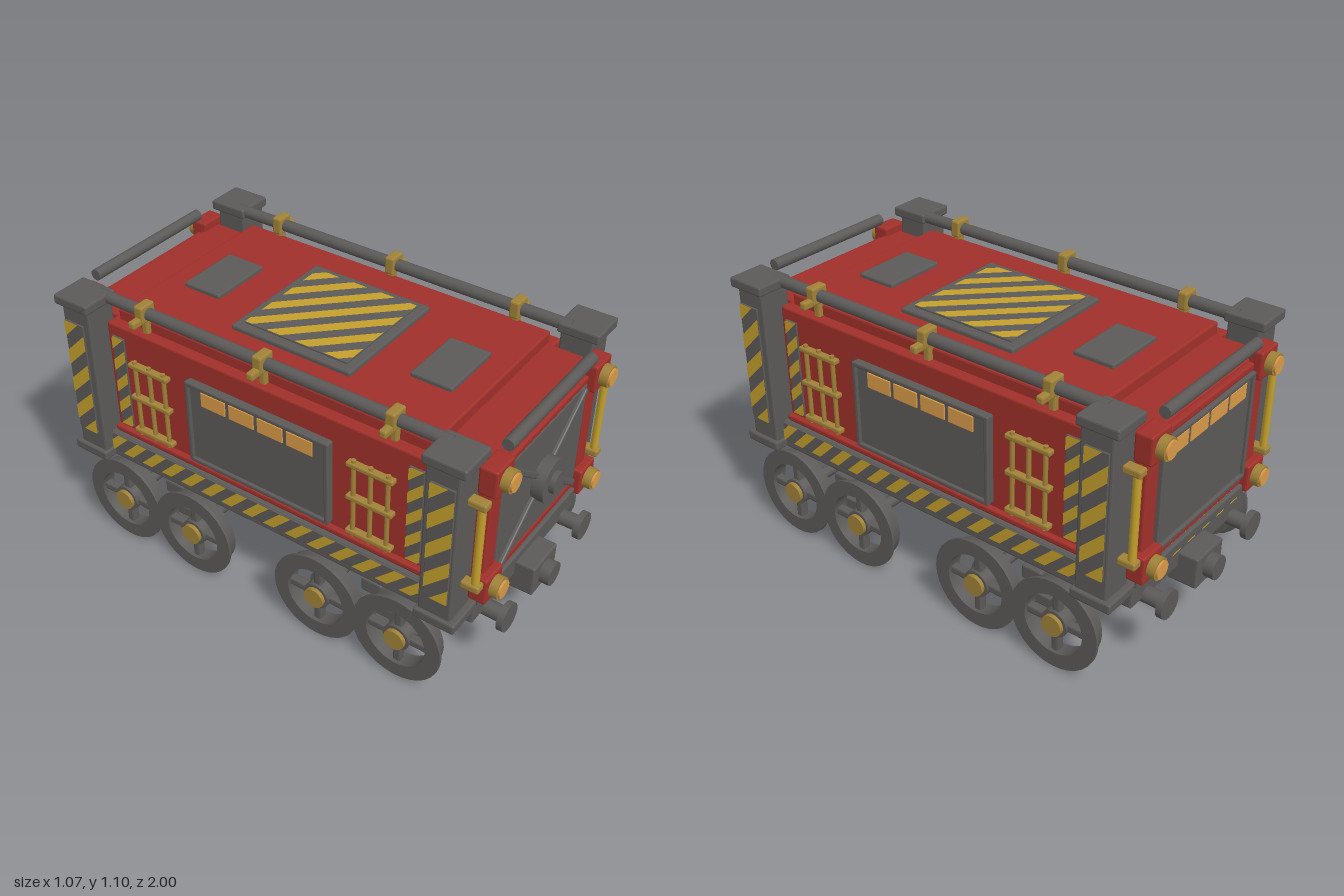
import * as THREE from 'three';
import { RoundedBoxGeometry } from 'three/addons/geometries/RoundedBoxGeometry.js';
import { toCreasedNormals } from 'three/addons/utils/BufferGeometryUtils.js';

const paint = (name, color) => Object.assign(new THREE.MeshStandardMaterial({ color }), { name });
const iron = paint('iron grey', 0x5c5a58);
const red = paint('body red', 0xa0302a);
const yellow = paint('hazard yellow', 0xc4a02c);
const brass = paint('brass', 0xa08238);
const amber = paint('lamp amber', 0xd89a48);

function add(parent, name, geometry, material) {
  const mesh = new THREE.Mesh(geometry, material);
  mesh.name = name;
  parent.add(mesh);
  return mesh;
}

// Chamfered box given by its limits on each axis
function box(parent, name, mat, [x0, x1], [y0, y1], [z0, z1]) {
  const w = x1 - x0, h = y1 - y0, d = z1 - z0;
  const g = new RoundedBoxGeometry(w, h, d, 1, Math.min(0.007, 0.25 * Math.min(w, h, d)));
  g.computeVertexNormals();
  const mesh = add(parent, name, g, mat);
  mesh.position.set((x0 + x1) / 2, (y0 + y1) / 2, (z0 + z1) / 2);
  return mesh;
}

// Cylinder centred at a point, running along one axis
function rod(parent, name, mat, r, length, axis, pos, sides = 20) {
  const g = new THREE.CylinderGeometry(r, r, length, sides);
  if (axis === 'x') g.rotateZ(-Math.PI / 2);
  if (axis === 'z') g.rotateX(Math.PI / 2);
  const mesh = add(parent, name, g, mat);
  mesh.position.set(...pos);
  return mesh;
}

// Keeps the part of a polygon where f >= 0
function clip(poly, f) {
  const out = [];
  poly.forEach((a, i) => {
    const b = poly[(i + 1) % poly.length], fa = f(a), fb = f(b);
    if (fa >= 0) out.push(a);
    if (fa * fb < 0) out.push(a.clone().lerp(b, fa / (fa - fb)));
  });
  return out;
}

// Dark plate with diagonal yellow stripes, facing +z
function hazard(parent, name, w, h, period, lean = 1) {
  const group = new THREE.Group();
  group.name = name;
  parent.add(group);
  box(group, 'stripe backing', iron, [-w / 2, w / 2], [-h / 2, h / 2], [-0.008, 0]);
  const rect = [[-1, -1], [1, -1], [1, 1], [-1, 1]].map(([x, y]) => new THREE.Vector2(x * w / 2, y * h / 2));
  const shapes = [];
  const n = Math.ceil((w + h) / period);
  for (let i = -n; i <= n; i++) {
    const a = i * period - period / 4, b = a + period / 2;
    const poly = clip(clip(rect, p => p.x - lean * p.y - a), p => b - p.x + lean * p.y);
    if (poly.length > 2) shapes.push(new THREE.Shape(poly));
  }
  add(group, 'yellow stripes', new THREE.ShapeGeometry(shapes), yellow).position.z = 0.002;
  return group;
}

// Framed dark panel with a row of four lit windows, facing +z
function windowPanel(parent, name, w, h) {
  const group = new THREE.Group();
  group.name = name;
  parent.add(group);
  const X = w / 2, Y = h / 2, t = 0.018;
  box(group, 'panel', iron, [-X, X], [-Y, Y], [-0.02, 0.01]);
  for (const s of [-1, 1]) {
    box(group, 'panel stile', iron, [s * (X - t / 2) - t / 2, s * (X - t / 2) + t / 2], [-Y, Y], [0, 0.022]);
    box(group, 'panel rail', iron, [-X, X], [s * (Y - t / 2) - t / 2, s * (Y - t / 2) + t / 2], [0, 0.022]);
  }
  for (let i = 0; i < 4; i++) {
    const x = (i - 1.5) * 0.129;
    box(group, 'window', amber, [x - 0.056, x + 0.056], [Y - 0.088, Y - 0.026], [0.008, 0.015]);
  }
  return group;
}

// Spoked wheel with flange; the axle runs along x
function wheel(parent, z) {
  const g = new THREE.Group();
  g.name = 'wheel';
  g.position.set(0, 0.19, z);
  parent.add(g);
  const profile = [[0.125, 0.46], [0.165, 0.46], [0.17, 0.505], [0.187, 0.512], [0.187, 0.524], [0.125, 0.524], [0.125, 0.46]];
  const rim = new THREE.LatheGeometry(profile.map(p => new THREE.Vector2(...p)), 32);
  rim.rotateZ(-Math.PI / 2);
  add(g, 'wheel rim', toCreasedNormals(rim, 0.5), iron);
  for (let i = 0; i < 2; i++) {
    box(g, 'spoke', iron, [0.475, 0.51], [-0.13, 0.13], [-0.016, 0.016]).rotation.x = i * Math.PI / 2;
  }
  rod(g, 'hub', iron, 0.055, 0.07, 'x', [0.485, 0, 0]);
  rod(g, 'hub cap', brass, 0.043, 0.02, 'x', [0.526, 0, 0], 14);
  rod(g, 'axle box', iron, 0.07, 0.025, 'x', [0.446, 0, 0]);
}

// One long side, built on +x
function side() {
  const g = new THREE.Group();
  g.name = 'side';
  for (const s of [-1, 1]) {
    const zs = (a, b) => s > 0 ? [a, b] : [-b, -a];
    box(g, 'corner post', iron, [0.39, 0.52], [0.39, 1.05], zs(0.73, 0.86));
    box(g, 'post cap', iron, [0.377, 0.535], [1.04, 1.08], zs(0.72, 0.885));
    box(g, 'post foot', iron, [0.377, 0.535], [0.36, 0.4], zs(0.72, 0.885));
    const post = hazard(g, 'post hazard plate', 0.095, 0.5, 0.13);
    post.rotation.y = Math.PI / 2;
    post.position.set(0.53, 0.73, s * 0.802);
    const strip = hazard(g, 'wall hazard strip', 0.06, 0.41, 0.1);
    strip.rotation.y = Math.PI / 2;
    strip.position.set(0.452, 0.725, s * 0.66);
    // Brass window grille
    for (const dz of [-0.07, 0, 0.07])
      rod(g, 'grille bar', brass, 0.009, 0.34, 'y', [0.47, 0.7, s * 0.495 + dz], 8);
    for (const y of [0.55, 0.705, 0.85])
      box(g, 'grille crossbar', brass, [0.455, 0.485], [y - 0.01, y + 0.01], [s * 0.495 - 0.095, s * 0.495 + 0.095]);
    wheel(g, s * 0.297);
    wheel(g, s * 0.65);
    box(g, 'bogie side bar', iron, [0.42, 0.44], [0.165, 0.21], zs(0.28, 0.67));
  }
  const panel = windowPanel(g, 'side door', 0.64, 0.365);
  panel.rotation.y = Math.PI / 2;
  panel.position.set(0.453, 0.702, 0);
  box(g, 'sill', iron, [0.4, 0.48], [0.385, 0.48], [-0.73, 0.73]);
  box(g, 'sill ledge', red, [0.4, 0.465], [0.48, 0.505], [-0.715, 0.715]);
  const sill = hazard(g, 'sill hazard strip', 1.44, 0.08, 0.1);
  sill.rotation.y = Math.PI / 2;
  sill.position.set(0.488, 0.438, 0);
  rod(g, 'roof rail', iron, 0.024, 1.53, 'z', [0.41, 1.062, 0], 12);
  for (const z of [-0.545, 0, 0.545]) {
    box(g, 'rail bracket', brass, [0.375, 0.447], [1.03, 1.1], [z - 0.02, z + 0.02]);
    box(g, 'bracket arm', brass, [0.43, 0.487], [1.025, 1.055], [z - 0.015, z + 0.015]);
    box(g, 'bracket foot', brass, [0.385, 0.42], [0.965, 1.04], [z - 0.015, z + 0.015]);
  }
  return g;
}

// Parts shared by both ends, built on +z
function end(name) {
  const g = new THREE.Group();
  g.name = name;
  box(g, 'end wall', red, [-0.385, 0.385], [0.41, 0.975], [0.7, 0.88]);
  box(g, 'end header', red, [-0.38, 0.38], [0.935, 0.965], [0.87, 0.9]);
  box(g, 'end sill', red, [-0.38, 0.38], [0.455, 0.49], [0.87, 0.9]);
  box(g, 'door step', iron, [-0.3, 0.3], [0.415, 0.455], [0.87, 0.912]);
  hazard(g, 'end hazard strip', 0.78, 0.075, 0.1).position.set(0, 0.427, 0.895);
  rod(g, 'end rail', iron, 0.023, 0.6, 'x', [0, 1.042, 0.9], 12);
  box(g, 'buffer beam', iron, [-0.39, 0.39], [0.29, 0.39], [0.78, 0.88]);
  box(g, 'coupler block', iron, [-0.088, 0.088], [0.225, 0.355], [0.84, 0.96]);
  rod(g, 'coupler pin', iron, 0.048, 0.06, 'z', [0, 0.29, 0.97]);
  for (const s of [-1, 1]) {
    box(g, 'end column', red, [s * 0.342 - 0.038, s * 0.342 + 0.038], [0.45, 0.97], [0.87, 0.9]);
    rod(g, 'buffer stem', iron, 0.032, 0.09, 'z', [s * 0.292, 0.297, 0.91]);
    rod(g, 'buffer head', iron, 0.057, 0.025, 'z', [s * 0.292, 0.297, 0.963]);
    for (const y of [0.482, 0.955]) {
      box(g, 'lamp bracket', red, [s * 0.352 - 0.057, s * 0.352 + 0.057], [y - 0.055, y + 0.055], [0.86, 0.93]);
      rod(g, 'lamp ring', brass, 0.042, 0.036, 'z', [s * 0.352, y, 0.944]);
      rod(g, 'lamp glass', amber, 0.034, 0.04, 'z', [s * 0.352, y, 0.95]);
    }
    // Grab bar on the post
    rod(g, 'grab bar', yellow, 0.015, 0.38, 'y', [s * 0.445, 0.715, 0.905], 10);
    for (const y of [0.535, 0.897])
      box(g, 'grab bar mount', brass, [s * 0.445 - 0.021, s * 0.445 + 0.021], [y - 0.015, y + 0.015], [0.855, 0.928]);
  }
  // Bogie axles and crossbeam
  for (const z of [0.297, 0.65]) rod(g, 'axle', iron, 0.025, 0.88, 'x', [0, 0.195, z], 10);
  box(g, 'bogie crossbeam', iron, [-0.42, 0.42], [0.225, 0.285], [0.43, 0.52]);
  rod(g, 'bogie pivot', iron, 0.08, 0.1, 'y', [0, 0.31, 0.475]);
  // Small roof hatch
  box(g, 'small roof hatch', iron, [-0.135, 0.135], [1.01, 1.037], [0.425, 0.595]);
  return g;
}

export function createModel() {
  const model = new THREE.Group();
  model.name = 'mine wagon';

  // Body, roof and chassis
  box(model, 'body', red, [-0.443, 0.443], [0.39, 0.975], [-0.715, 0.715]);
  box(model, 'roof', red, [-0.4, 0.4], [0.96, 1.02], [-0.69, 0.69]);
  box(model, 'chassis', iron, [-0.48, 0.48], [0.36, 0.4], [-0.86, 0.86]);
  box(model, 'underframe', iron, [-0.36, 0.36], [0.29, 0.37], [-0.8, 0.8]);
  rod(model, 'under tank', iron, 0.14, 0.32, 'z', [0, 0.232, 0], 20);
  box(model, 'tank saddle', iron, [-0.135, 0.135], [0.21, 0.3], [-0.13, 0.13]);

  // Large striped roof hatch
  box(model, 'main roof hatch', iron, [-0.262, 0.262], [1.01, 1.038], [-0.262, 0.262]);
  const top = hazard(model, 'roof hazard plate', 0.45, 0.45, 0.127, -1);
  top.rotation.x = -Math.PI / 2;
  top.position.y = 1.045;

  // Both sides and both ends, turned half round
  for (const turn of [0, Math.PI]) {
    const wall = side();
    wall.rotation.y = turn;
    model.add(wall);
  }
  const front = end('front end');
  const back = end('back end');
  back.rotation.y = Math.PI;
  model.add(front, back);

  // Braced front door with hub
  box(front, 'front door', iron, [-0.3, 0.3], [0.49, 0.935], [0.87, 0.9]);
  for (const s of [-1, 1]) {
    const brace = box(front, 'door brace', iron, [-0.35, 0.35], [0.697, 0.723], [0.89, 0.915]);
    brace.rotation.z = s * Math.atan2(0.43, 0.55);
  }
  rod(front, 'door hub', iron, 0.085, 0.055, 'z', [0, 0.71, 0.92], 24);
  rod(front, 'door hub boss', iron, 0.043, 0.03, 'z', [0, 0.71, 0.952], 20);

  // Back door with windows
  windowPanel(back, 'back door', 0.6, 0.445).position.set(0, 0.712, 0.89);
  return model;
}
